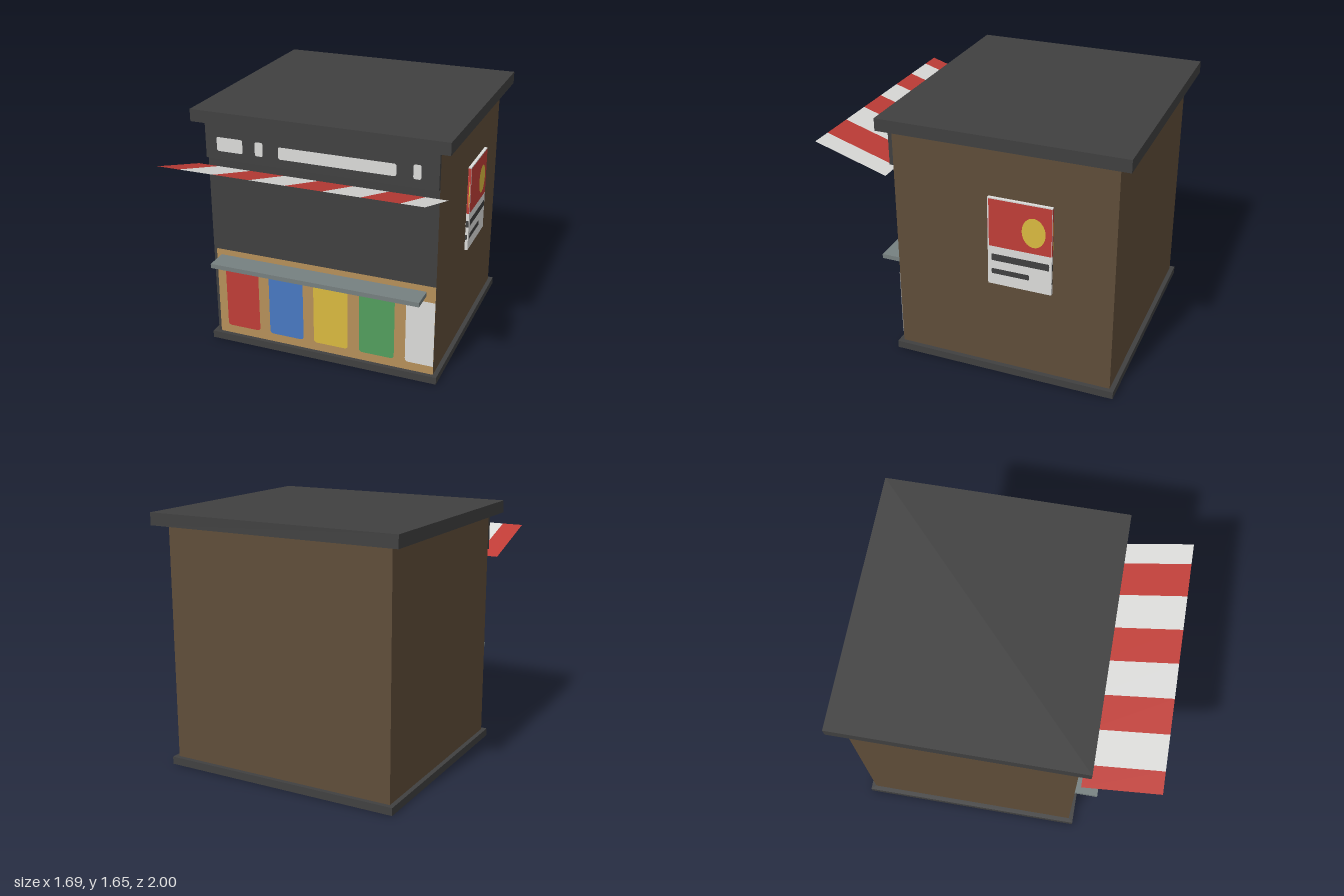
import * as THREE from 'three';

const mat = (name, color, side = THREE.FrontSide) => {
  const m = new THREE.MeshStandardMaterial({ color, side });
  m.name = name;
  return m;
};

export function createModel() {
  const M = {
    dark: mat('charcoal', 0x404040),
    brown: mat('brown wall', 0x5f4d39),
    tan: mat('tan wood', 0xb6905a),
    red: mat('red', 0xc03d37, THREE.DoubleSide),
    white: mat('off white', 0xdcdcda, THREE.DoubleSide),
    blue: mat('blue', 0x4879c2),
    yellow: mat('yellow', 0xdaba40),
    green: mat('green', 0x539e5d),
    steel: mat('steel', 0x768080),
  };
  const kiosk = new THREE.Group();
  kiosk.name = 'kiosk';

  const add = (parent, name, geo, material, x = 0, y = 0, z = 0) => {
    const mesh = new THREE.Mesh(geo, material);
    mesh.name = name;
    mesh.position.set(x, y, z);
    parent.add(mesh);
    return mesh;
  };
  // box given by its minimum and maximum corners
  const box = (name, material, [x0, y0, z0], [x1, y1, z1]) =>
    add(kiosk, name, new THREE.BoxGeometry(x1 - x0, y1 - y0, z1 - z0), material,
      (x0 + x1) / 2, (y0 + y1) / 2, (z0 + z1) / 2);
  // flat rectangle with rounded left corners and optional rounded right corners
  const plate = (x0, x1, y0, y1, r = 0, rr = r) => {
    const s = new THREE.Shape();
    s.moveTo(x0 + r, y0);
    s.lineTo(x1 - rr, y0);
    s.quadraticCurveTo(x1, y0, x1, y0 + rr);
    s.lineTo(x1, y1 - rr);
    s.quadraticCurveTo(x1, y1, x1 - rr, y1);
    s.lineTo(x0 + r, y1);
    s.quadraticCurveTo(x0, y1, x0, y1 - r);
    s.lineTo(x0, y0 + r);
    s.quadraticCurveTo(x0, y0, x0 + r, y0);
    return new THREE.ShapeGeometry(s, 4);
  };

  const W = 0.77, FRONT = 0.5, BACK = -0.92, MID = (FRONT + BACK) / 2, DEPTH = FRONT - BACK;

  // Body: brown sides and back, dark front and floor
  box('body', [M.brown, M.brown, M.dark, M.dark, M.dark, M.brown],
    [-W, 0.045, BACK], [W, 1.58, FRONT]);

  // Plinth: a frame around the foot of the walls
  const ring = new THREE.Shape([[-0.8, -0.53], [0.8, -0.53], [0.8, 0.95], [-0.8, 0.95]]
    .map(p => new THREE.Vector2(...p)));
  ring.holes.push(new THREE.Path([[-W, -FRONT], [-W, -BACK], [W, -BACK], [W, -FRONT]]
    .map(p => new THREE.Vector2(...p))));
  const ringGeo = new THREE.ExtrudeGeometry(ring, { depth: 0.05, bevelEnabled: false });
  add(kiosk, 'plinth', ringGeo.rotateX(-Math.PI / 2), M.dark);

  // Inner faces of the wall feet, seen from below
  const foot = (name, width, material, x, z, turn) => {
    add(kiosk, name, new THREE.PlaneGeometry(width, 0.045), material, x, 0.0225, z).rotation.y = turn;
  };
  foot('frontWallFoot', 2 * W, M.tan, 0, FRONT - 0.001, Math.PI);
  foot('backWallFoot', 2 * W, M.brown, 0, BACK + 0.001, 0);
  foot('leftWallFoot', DEPTH, M.brown, W - 0.001, MID, -Math.PI / 2);
  foot('rightWallFoot', DEPTH, M.brown, -W + 0.001, MID, Math.PI / 2);

  // Roof slab, sign board and counter
  box('roof', M.dark, [-0.845, 1.575, -1], [0.845, 1.655, 0.57]);
  box('signBoard', M.dark, [-W, 1.33, FRONT], [W, 1.56, 0.525]);
  box('counter', M.steel, [-0.715, 0.61, FRONT], [0.71, 0.64, 0.655]);

  // Pale abstract blocks on the sign board
  [[-0.69, -0.51], [-0.425, -0.37], [-0.265, 0.505], [0.61, 0.66]].forEach(([a, b], i) => {
    const top = i === 2 ? 1.465 : 1.478;
    add(kiosk, 'signBlock', plate(a, b, 1.385, top, 0.015), M.white, 0, 0, 0.528);
  });

  // Wooden front panel with coloured fields, running out to the model's left edge
  add(kiosk, 'frontPanel', plate(-0.75, W, 0.05, 0.68, 0.01, 0), M.tan, 0, 0, FRONT + 0.002);
  [['red', -0.69, -0.45], ['blue', -0.375, -0.13], ['yellow', -0.055, 0.185],
    ['green', 0.265, 0.505], ['white', 0.58, W]].forEach(([c, a, b]) => {
    add(kiosk, c + 'Field', plate(a, b, 0.11, 0.57, 0.025, c === 'white' ? 0 : 0.025),
      M[c], 0, 0, FRONT + 0.004);
  });

  // Striped awning rising outwards
  const awning = new THREE.Group();
  awning.name = 'awning';
  kiosk.add(awning);
  const inner = [1.28, 0.525], outer = [1.43, 1.0];
  const dy = outer[0] - inner[0], dz = outer[1] - inner[1];
  const edges = [-0.83, -0.688, -0.459, -0.23, 0, 0.228, 0.459, 0.687, 0.83];
  for (let i = 0; i < edges.length - 1; i++) {
    const stripe = add(awning, 'awningStripe',
      new THREE.PlaneGeometry(edges[i + 1] - edges[i], Math.hypot(dy, dz)),
      i % 2 ? M.white : M.red,
      (edges[i] + edges[i + 1]) / 2, inner[0] + dy / 2, inner[1] + dz / 2);
    stripe.rotation.x = Math.atan2(dz, dy);
  }

  // Poster on the left wall; its picture repeats, squeezed, on both narrow edges
  box('posterBoard', M.white, [0.775, 0.655, -0.535], [0.795, 1.245, -0.125]);
  const art = (width, x, z, turn) => {
    const g = new THREE.Group();
    g.name = 'posterPicture';
    add(g, 'posterField', plate(-0.48, 0.495, 0.92, 1.238), M.red, 0, 0, 0.001);
    const sun = add(g, 'posterSun', new THREE.CircleGeometry(1, 32), M.yellow, 0.22, 1.06, 0.003);
    sun.scale.set(0.183, 0.098, 1);
    add(g, 'posterBar', plate(-0.44, 0.465, 0.822, 0.868, 0.015), M.dark, 0, 0, 0.002);
    add(g, 'posterBar', plate(-0.44, 0.155, 0.73, 0.766, 0.015), M.dark, 0, 0, 0.002);
    g.position.set(x, 0, z);
    g.rotation.y = turn;
    g.scale.x = width;
    kiosk.add(g);
  };
  art(0.41, 0.795, -0.33, Math.PI / 2);
  art(0.02, 0.785, -0.125, 0);
  art(0.02, 0.785, -0.535, Math.PI);

  return kiosk;
}
